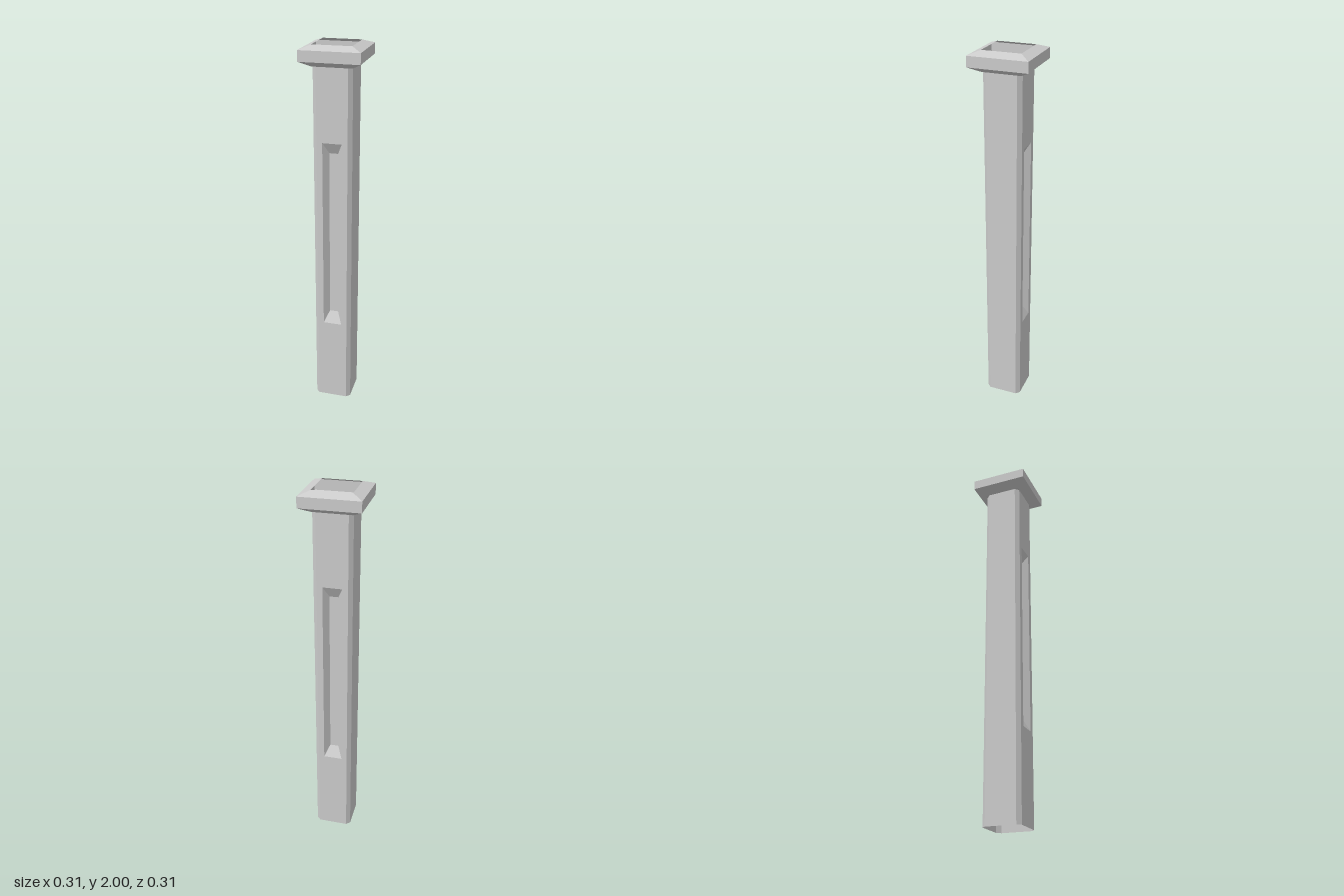
import * as THREE from 'three';

const material = new THREE.MeshStandardMaterial({ color: 0xcccccc, flatShading: true, side: THREE.DoubleSide });

const HALF = 0.1, CHAMFER = 0.08, POST_TOP = 1.897;

function part(name, geometry) {
  const mesh = new THREE.Mesh(geometry, material);
  mesh.name = name;
  return mesh;
}

// Joins successive rows of points with quads.
function loft(rows, closed) {
  const n = rows[0].length, pos = [];
  for (let j = 0; j < rows.length - 1; j++) {
    for (let i = 0; i < (closed ? n : n - 1); i++) {
      const k = (i + 1) % n;
      const a = rows[j][i], b = rows[j][k], c = rows[j + 1][k], d = rows[j + 1][i];
      pos.push(...a, ...b, ...c, ...a, ...c, ...d);
    }
  }
  const geometry = new THREE.BufferGeometry();
  geometry.setAttribute('position', new THREE.Float32BufferAttribute(pos, 3));
  geometry.computeVertexNormals();
  return geometry;
}

const polygon = points => new THREE.Shape(points.map(p => new THREE.Vector2(p[0], p[1])));
const rectangle = (w, y0, y1) => [[-w, y0], [w, y0], [w, y1], [-w, y1]];

// One half of the post: a recessed face, two chamfered corners and a plain side.
function postHalf() {
  const half = new THREE.Group();
  const outer = rectangle(0.05, 0.485, 1.523);
  const inner = rectangle(0.023, 0.547, 1.463);
  const depth = 0.066;

  // face with the opening of the recess
  const face = polygon(rectangle(CHAMFER, 0, POST_TOP));
  face.holes.push(polygon(outer));
  half.add(part('recessedFace', new THREE.ShapeGeometry(face).translate(0, 0, HALF)));

  // sloped sides and floor of the recess
  const row = (points, z) => points.map(([x, y]) => [x, y, z]);
  half.add(part('recessSlopes', loft([row(outer, HALF), row(inner, depth)], true)));
  half.add(part('recessFloor', new THREE.ShapeGeometry(polygon(inner)).translate(0, 0, depth)));

  // plain side with a chamfer along each edge
  const section = [[CHAMFER, HALF], [HALF, CHAMFER], [HALF, -CHAMFER], [CHAMFER, -HALF]];
  half.add(part('chamferedSide', loft([0, POST_TOP].map(y => section.map(([x, z]) => [x, y, z])), false)));
  return half;
}

export function createModel() {
  const model = new THREE.Group();
  model.name = 'post';

  // hollow shaft, front and back alike
  for (const [name, angle] of [['shaftFront', 0], ['shaftBack', Math.PI]]) {
    const half = postHalf();
    half.name = name;
    half.rotation.y = angle;
    model.add(half);
  }

  // open square cap, bevelled above and below
  const profile = [[HALF, POST_TOP], [0.153, 1.926], [0.153, 1.98], [HALF, 2]];
  model.add(part('cap', loft(profile.map(([h, y]) => [[-h, y, h], [h, y, h], [h, y, -h], [-h, y, -h]]), true)));

  // small corner fillers between the square cap and the chamfered shaft
  const corners = [];
  for (const s of [-1, 1]) for (const t of [-1, 1]) {
    corners.push(polygon([[s * HALF, t * HALF], [s * CHAMFER, t * HALF], [s * HALF, t * CHAMFER]]));
  }
  model.add(part('capCorners', new THREE.ShapeGeometry(corners).rotateX(Math.PI / 2).translate(0, POST_TOP, 0)));

  return model;
}
